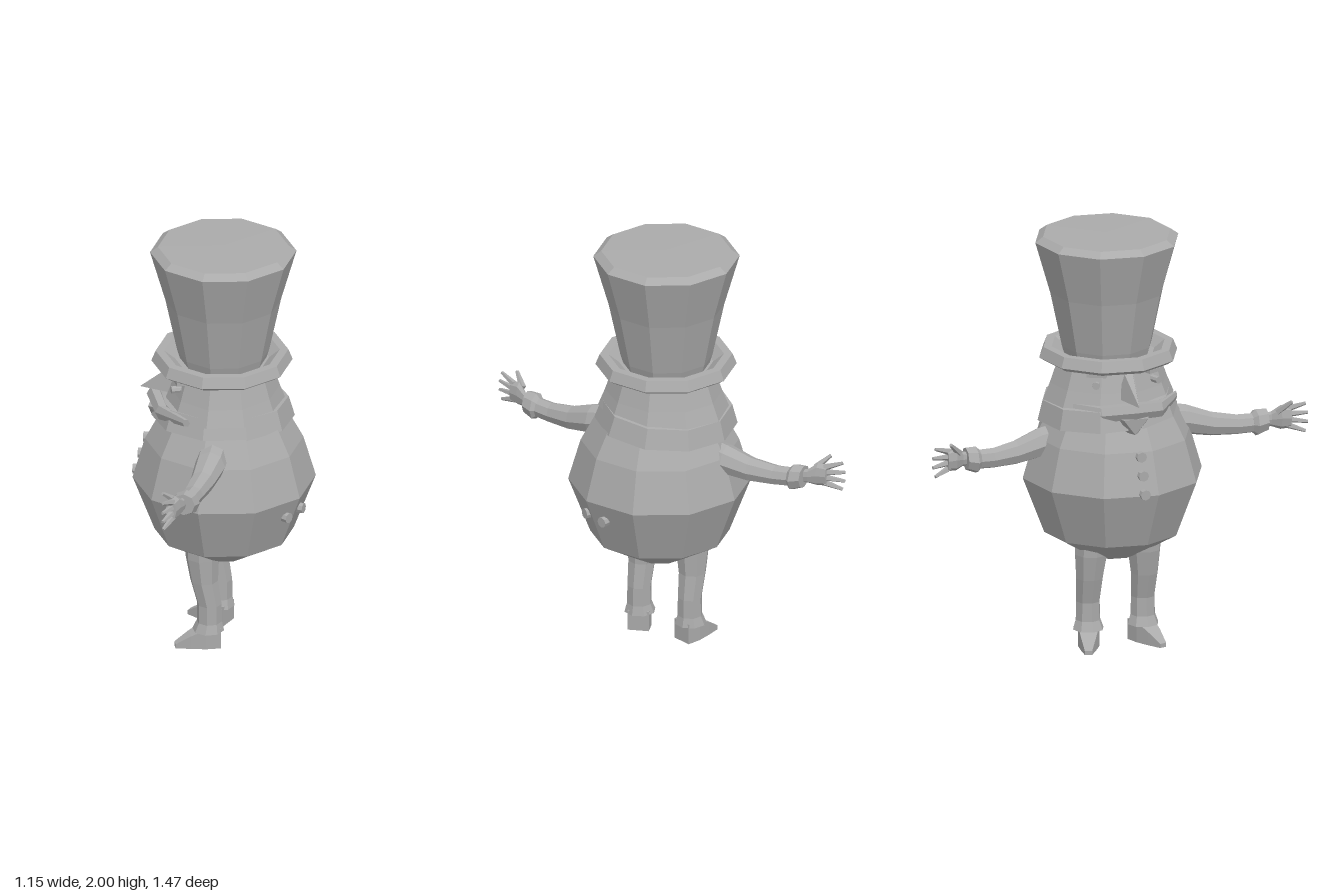
import * as THREE from 'three';
import { ConvexGeometry } from 'three/addons/geometries/ConvexGeometry.js';

const clay = new THREE.MeshStandardMaterial({ color: 0xaaaaaa, flatShading: true });
clay.name = 'grey clay';

function part(name, geometry, x = 0, y = 0, z = 0) {
  const mesh = new THREE.Mesh(geometry, clay);
  mesh.name = name;
  mesh.position.set(x, y, z);
  return mesh;
}

// Ten-sided turned shape; profile is [radius, height] from bottom to top.
function turned(name, profile, x, z) {
  const points = profile.map(([r, y]) => new THREE.Vector2(r, y));
  const geometry = new THREE.LatheGeometry(points, 10, 12 * Math.PI / 180);
  return part(name, geometry, x, 0, z);
}

// Tapered limb through rings [x, y, z, radius], listed from high to low along its axis.
function limb(name, axis, rings, sides = 8, squash = 1) {
  const n = rings.length - 1;
  const geometry = new THREE.CylinderGeometry(1, 1, n, sides, n);
  const p = geometry.attributes.position;
  for (let i = 0; i < p.count; i++) {
    const [x, y, z, r] = rings[Math.round(n / 2 - p.getY(i))];
    const u = p.getX(i) * r, w = p.getZ(i) * r * squash;
    if (axis === 'x') p.setXYZ(i, x, y - u, z + w);
    else p.setXYZ(i, x + u, y, z + w);
  }
  geometry.computeVertexNormals();
  return part(name, geometry);
}

// Straight finger between two points.
function finger(name, from, to, r) {
  const a = new THREE.Vector3(...from), b = new THREE.Vector3(...to);
  const d = b.clone().sub(a);
  const mesh = part(name, new THREE.CylinderGeometry(r * 0.5, r, d.length(), 5));
  mesh.position.copy(a).add(b).multiplyScalar(0.5);
  mesh.quaternion.setFromUnitVectors(new THREE.Vector3(0, 1, 0), d.normalize());
  return mesh;
}

function convex(name, points) {
  return part(name, new ConvexGeometry(points.map(p => new THREE.Vector3(...p))));
}

function makeArm() {
  const arm = new THREE.Group();
  arm.name = 'arm';
  arm.add(limb('sleeve', 'x', [
    [0.70, 0.975, -0.05, 0.046], [0.60, 0.97, -0.065, 0.048],
    [0.48, 0.98, -0.085, 0.058], [0.36, 1.01, -0.1, 0.072], [0.24, 1.03, -0.1, 0.075],
  ]));
  arm.add(limb('cuff', 'x', [
    [0.74, 0.985, -0.045, 0.054], [0.69, 0.975, -0.05, 0.064], [0.67, 0.975, -0.053, 0.045],
  ]));
  arm.add(limb('palm', 'x', [
    [0.845, 1.0, -0.005, 0.052], [0.80, 1.0, -0.015, 0.058],
    [0.76, 0.99, -0.035, 0.036], [0.72, 0.985, -0.045, 0.03],
  ], 8, 0.5));
  // Four spread fingers and a raised thumb
  for (let i = 0; i < 4; i++) {
    const s = i - 1.5;
    arm.add(finger('finger', [0.83, 1.0 + s * 0.026, -0.01],
      [0.93 - Math.abs(s) * 0.012, 1.0 + s * 0.045, 0.02], 0.016));
  }
  arm.add(finger('thumb', [0.785, 1.03, -0.01], [0.84, 1.085, 0.035], 0.018));
  return arm;
}

function makeLeg() {
  const leg = new THREE.Group();
  leg.name = 'leg';
  leg.add(limb('trouserLeg', 'y', [
    [0.125, 0.55, -0.02, 0.085], [0.13, 0.46, -0.02, 0.08], [0.135, 0.34, -0.03, 0.066],
    [0.135, 0.22, -0.055, 0.058], [0.135, 0.13, -0.055, 0.06], [0.135, 0.085, -0.05, 0.075],
  ]));
  // Shoe: a block that narrows and drops toward the toe
  const geometry = new THREE.BoxGeometry(0.1, 0.1, 0.21, 2, 1, 3);
  const p = geometry.attributes.position;
  for (let i = 0; i < p.count; i++) {
    const t = p.getZ(i) / 0.21 + 0.5;
    const front = Math.max(0, (t - 0.4) / 0.6);
    const height = (p.getY(i) + 0.05) * (1 - front * 0.8);
    p.setX(i, p.getX(i) * (1 - front * 0.65));
    p.setY(i, height);
  }
  geometry.computeVertexNormals();
  const shoe = part('shoe', geometry, 0.15, 0.003, 0);
  shoe.rotation.y = 0.33;
  leg.add(shoe);
  return leg;
}

export function createModel() {
  const model = new THREE.Group();
  model.name = 'topHatFigure';
  const figure = new THREE.Group();
  figure.name = 'figure';
  figure.rotation.y = 232 * Math.PI / 180;
  model.add(figure);

  // Pear-shaped body
  figure.add(turned('body', [
    [0, 0.43], [0.13, 0.435], [0.325, 0.55], [0.428, 0.82], [0.37, 1.02],
    [0.30, 1.15], [0.25, 1.22], [0, 1.22],
  ], 0, -0.1));

  // Head with wide side hair
  const head = turned('head', [
    [0, 1.18], [0.285, 1.2], [0.255, 1.28], [0.22, 1.39], [0, 1.4],
  ], -0.02, -0.1);
  head.scale.x = 1.1;
  figure.add(head);

  // Collar, tipped a little to one side
  const collar = turned('collar', [
    [0.28, 1.11], [0.335, 1.12], [0.305, 1.215], [0.25, 1.22],
  ], 0, -0.09);
  collar.rotation.z = 0.06;
  collar.position.x = 0.04;
  collar.position.y = 0.005;
  collar.geometry.computeBoundingSphere();
  figure.add(collar);

  // Hat with a hollow, raised brim
  figure.add(turned('hatBrim', [
    [0, 1.39], [0.30, 1.39], [0.33, 1.41], [0.31, 1.46], [0.27, 1.46], [0.22, 1.42], [0, 1.42],
  ], -0.025, -0.085));
  const crown = turned('hatCrown', [
    [0.20, 1.41], [0.215, 1.46], [0.27, 1.72], [0.342, 1.97], [0.305, 1.997], [0, 2.0],
  ], -0.03, -0.09);
  figure.add(crown);

  // Pointed nose, moustache and small beard
  figure.add(convex('nose', [
    [0, 1.39, 0.12], [-0.05, 1.25, 0.12], [0.05, 1.25, 0.12],
    [0, 1.25, 0.3], [-0.02, 1.37, 0.14], [0.02, 1.37, 0.14],
  ]));
  const mouth = [[0, 1.215, 0.23, 0.042]];
  const wing = [[0.27, 1.21, 0.03, 0.02], [0.15, 1.195, 0.165, 0.04], ...mouth];
  const otherWing = wing.slice(0, 2).reverse().map(([x, y, z, r]) => [-x, y, z, r]);
  figure.add(limb('moustache', 'x', [...wing, ...otherWing], 6, 0.9));
  figure.add(convex('beard', [
    [-0.09, 1.18, 0.16], [0.09, 1.18, 0.16], [-0.06, 1.18, 0.25], [0.06, 1.18, 0.25],
    [0.05, 1.11, 0.18], [-0.05, 1.11, 0.18], [0, 1.1, 0.24],
  ]));

  for (const side of [1, -1]) {
    // Eyes and brows
    const eye = part('eye', new THREE.CylinderGeometry(0.018, 0.018, 0.05, 8), side * 0.145, 1.32, 0.1);
    eye.rotation.set(Math.PI / 2, 0, -side * 0.4);
    figure.add(eye);
    const brow = part('brow', new THREE.BoxGeometry(0.09, 0.018, 0.04), side * 0.14, 1.365, 0.09);
    brow.rotation.y = side * 0.45;
    figure.add(brow);

    // Limbs, mirrored
    const arm = makeArm();
    arm.scale.x = side;
    arm.position.y = 0.012 + side * 0.022;
    const leg = makeLeg();
    leg.scale.x = side;
    figure.add(arm, leg);
  }

  // Coat buttons: three in front, two behind
  const addButton = (name, angle, y, radius) => {
    const button = part(name, new THREE.CylinderGeometry(0.025, 0.025, 0.04, 8),
      Math.sin(angle) * radius, y, -0.1 + Math.cos(angle) * radius);
    button.rotation.set(Math.PI / 2, 0, -angle);
    figure.add(button);
  };
  const frontRadius = [0.41, 0.385, 0.36];
  frontRadius.forEach((radius, i) => addButton('frontButton', 0.05, 0.83 + i * 0.085, radius));
  for (const degrees of [149, 167]) addButton('backButton', degrees * Math.PI / 180, 0.73, 0.385);

  return model;
}
